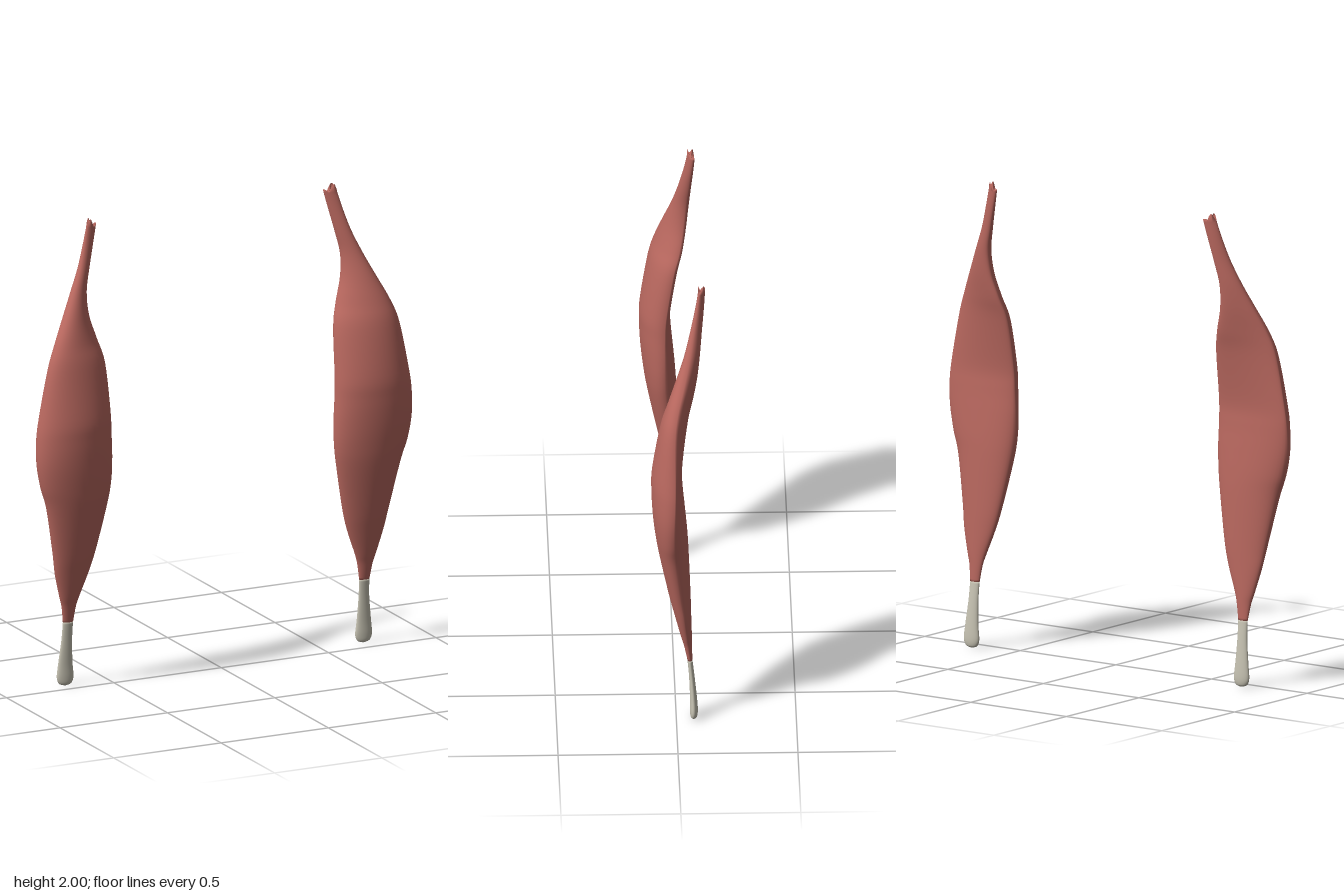
import * as THREE from 'three';

// Section rows, bottom to top: [y, inner x, outer x, inner edge z, outer edge z, front z, back z]
const TENDON = [
  [0.003, 0.685, 0.712, -0.073, -0.073, -0.066, -0.080],
  [0.012, 0.669, 0.729, -0.073, -0.073, -0.059, -0.087],
  [0.04, 0.661, 0.738, -0.073, -0.073, -0.057, -0.090],
  [0.10, 0.667, 0.732, -0.071, -0.071, -0.057, -0.086],
  [0.20, 0.672, 0.721, -0.064, -0.064, -0.053, -0.076],
  [0.28, 0.671, 0.718, -0.057, -0.057, -0.046, -0.067],
];
const BELLY = [
  [0.28, 0.671, 0.718, -0.057, -0.057, -0.046, -0.067],
  [0.35, 0.660, 0.728, -0.052, -0.048, -0.032, -0.066],
  [0.40, 0.645, 0.742, -0.046, -0.042, -0.018, -0.065],
  [0.50, 0.608, 0.768, -0.038, -0.030, 0.007, -0.062],
  [0.60, 0.580, 0.786, -0.028, -0.015, 0.031, -0.059],
  [0.80, 0.540, 0.826, -0.004, 0.010, 0.072, -0.051],
  [0.90, 0.526, 0.857, 0.002, 0.015, 0.088, -0.045],
  [1.00, 0.523, 0.875, 0.002, 0.014, 0.099, -0.036],
  [1.10, 0.527, 0.876, 0.001, 0.010, 0.104, -0.027],
  [1.20, 0.530, 0.863, -0.004, 0.008, 0.101, -0.024],
  [1.40, 0.539, 0.822, -0.034, 0.008, 0.066, -0.046],
  [1.50, 0.564, 0.785, -0.060, -0.004, 0.035, -0.064],
  [1.60, 0.592, 0.735, -0.076, -0.030, 0.001, -0.082],
  [1.70, 0.597, 0.685, -0.086, -0.055, -0.033, -0.096],
  [1.80, 0.576, 0.640, -0.098, -0.074, -0.060, -0.106],
  [1.90, 0.551, 0.607, -0.110, -0.090, -0.083, -0.116],
  [1.975, 0.533, 0.586, -0.119, -0.100, -0.097, -0.121],
];
const AROUND = 40;

// Smooth interpolation of every column along the rows
function sampleRows(rows, t) {
  const n = rows.length - 1;
  const i = Math.min(Math.floor(t * n), n - 1), f = t * n - i;
  const at = k => rows[Math.max(0, Math.min(n, k))];
  return rows[0].map((_, c) => {
    const p0 = at(i - 1)[c], p1 = at(i)[c], p2 = at(i + 1)[c], p3 = at(i + 2)[c];
    return p1 + 0.5 * f * (p2 - p0 + f * (2 * p0 - 5 * p1 + 4 * p2 - p3 + f * (3 * (p1 - p2) + p3 - p0)));
  });
}

// Loft of lens-shaped rings; side mirrors x, notch shapes the split upper end
function loft(rows, steps, side, dz, notch) {
  const pos = [], index = [];
  const tri = (a, b, c) => side > 0 ? index.push(a, b, c) : index.push(a, c, b);
  for (let j = 0; j <= steps; j++) {
    const [y, xi, xo, zi, zo, zf, zb] = sampleRows(rows, j / steps);
    const mid = (zi + zo) / 2;
    for (let k = 0; k < AROUND; k++) {
      const a = k / AROUND * Math.PI * 2, c = Math.cos(a), s = Math.sin(a);
      const z = mid + c * (zo - zi) / 2 + Math.abs(s) * ((s > 0 ? zf : zb) - mid);
      // two uneven tips at the top end
      const tip = notch && j === steps
        ? 0.026 * Math.exp(-(((c - 0.45) / 0.4) ** 2)) - 0.012 * Math.exp(-(((c + 0.35) / 0.25) ** 2)) : 0;
      pos.push(side * ((xi + xo) / 2 + c * (xo - xi) / 2), y + tip, z + dz);
    }
  }
  for (let j = 0; j < steps; j++) {
    for (let k = 0; k < AROUND; k++) {
      const a = j * AROUND + k, b = j * AROUND + (k + 1) % AROUND;
      tri(a, a + AROUND, b);
      tri(b, a + AROUND, b + AROUND);
    }
  }
  // closing caps
  for (const [row, start, up] of [[rows[0], 0, false], [rows.at(-1), steps * AROUND, true]]) {
    const centre = pos.length / 3;
    const y = row[0] + (up && notch ? -0.012 : up ? 0 : -0.003);
    pos.push(side * (row[1] + row[2]) / 2, y, (row[3] + row[4]) / 2 + dz);
    for (let k = 0; k < AROUND; k++) {
      const a = start + k, b = start + (k + 1) % AROUND;
      up ? tri(centre, b, a) : tri(centre, a, b);
    }
  }
  const geo = new THREE.BufferGeometry();
  geo.setAttribute('position', new THREE.Float32BufferAttribute(pos, 3));
  geo.setIndex(index);
  geo.computeVertexNormals();
  return geo;
}

export function createModel() {
  const model = new THREE.Group();
  model.name = 'upperArmMuscles';
  const red = new THREE.MeshStandardMaterial({ color: 0xb9685f });
  const pale = new THREE.MeshStandardMaterial({ color: 0xc6c2b2 });

  // the right muscle sits slightly further forward than the left
  for (const [name, side, dz] of [['left', 1, 0], ['right', -1, 0.018]]) {
    const arm = new THREE.Group();
    arm.name = name + 'Muscle';
    const belly = new THREE.Mesh(loft(BELLY, 80, side, dz, true), red);
    belly.name = name + 'MuscleBelly';
    const tendon = new THREE.Mesh(loft(TENDON, 30, side, dz, false), pale);
    tendon.name = name + 'LowerTendon';
    arm.add(belly, tendon);
    model.add(arm);
  }
  return model;
}
